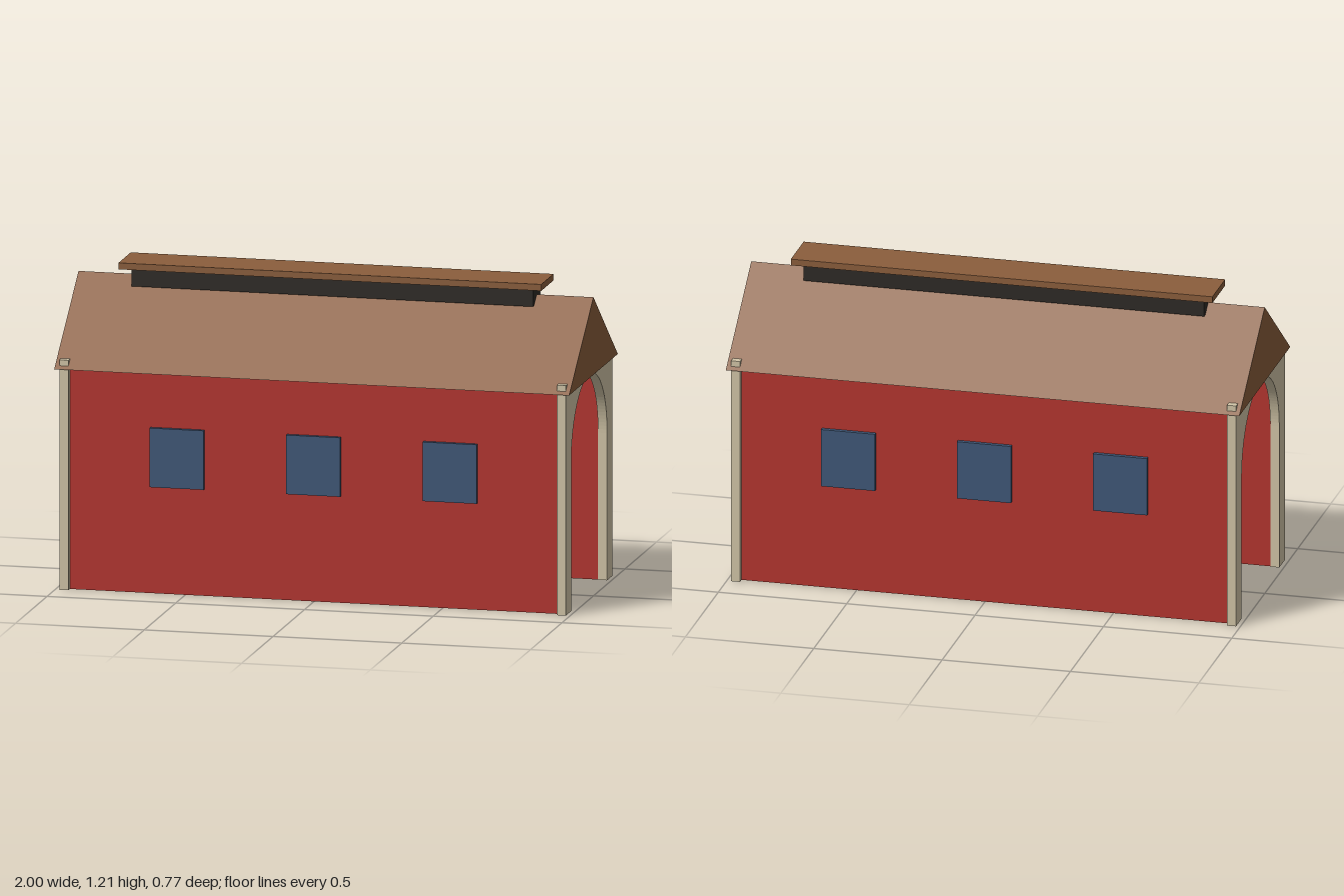
import * as THREE from 'three';

const mat = (color) => new THREE.MeshStandardMaterial({ color });

export function createModel() {
  const model = new THREE.Group();
  model.name = 'coveredBridge';
  const red = mat(0xb5352f), cream = mat(0xd2c6a8), brown = mat(0x8b5e3c);
  const blue = mat(0x3f5878), dark = mat(0x2e2a26);

  const add = (name, geometry, material, x = 0, y = 0, z = 0) => {
    const mesh = new THREE.Mesh(geometry, material);
    mesh.name = name;
    mesh.position.set(x, y, z);
    model.add(mesh);
    return mesh;
  };
  const box = (name, w, h, d, material, x, y, z) =>
    add(name, new THREE.BoxGeometry(w, h, d), material, x, y, z);

  // Extrude a shape drawn in the z-y plane along x, centred on x
  const extrudeX = (shape, length) =>
    new THREE.ExtrudeGeometry(shape, { depth: length, bevelEnabled: false, curveSegments: 32 })
      .translate(0, 0, -length / 2).rotateY(Math.PI / 2);

  // Side walls with raised windows
  for (const side of [1, -1]) {
    box('sideWall', 1.9, 0.853, 0.058, red, 0, 0.4265, side * 0.319);
    for (const x of [-0.53, 0, 0.53]) box('window', 0.21, 0.228, 0.03, blue, x, 0.526, side * 0.35);
  }

  // Arched portals; their top corners poke through the roof
  const arch = new THREE.Shape();
  arch.moveTo(0.372, 0);
  arch.lineTo(0.372, 0.887);
  arch.lineTo(-0.372, 0.887);
  arch.lineTo(-0.372, 0);
  arch.lineTo(-0.285, 0);
  arch.lineTo(-0.285, 0.568);
  arch.absarc(0, 0.568, 0.285, Math.PI, 0, true);
  arch.lineTo(0.285, 0);
  arch.closePath();
  for (const x of [-0.966, 0.966]) add('archedPortal', extrudeX(arch, 0.035), cream, x);

  // Solid gable roof
  const gable = new THREE.Shape();
  gable.moveTo(-0.387, 0.853);
  gable.lineTo(0.387, 0.853);
  gable.lineTo(0, 1.152);
  gable.closePath();
  add('roof', extrudeX(gable, 2), brown);

  // Ridge vent and its flat cap
  box('ridgeVent', 1.56, 0.073, 0.124, dark, 0, 1.1535, 0);
  box('ventCap', 1.642, 0.025, 0.195, brown, 0, 1.2, 0);

  return model;
}
